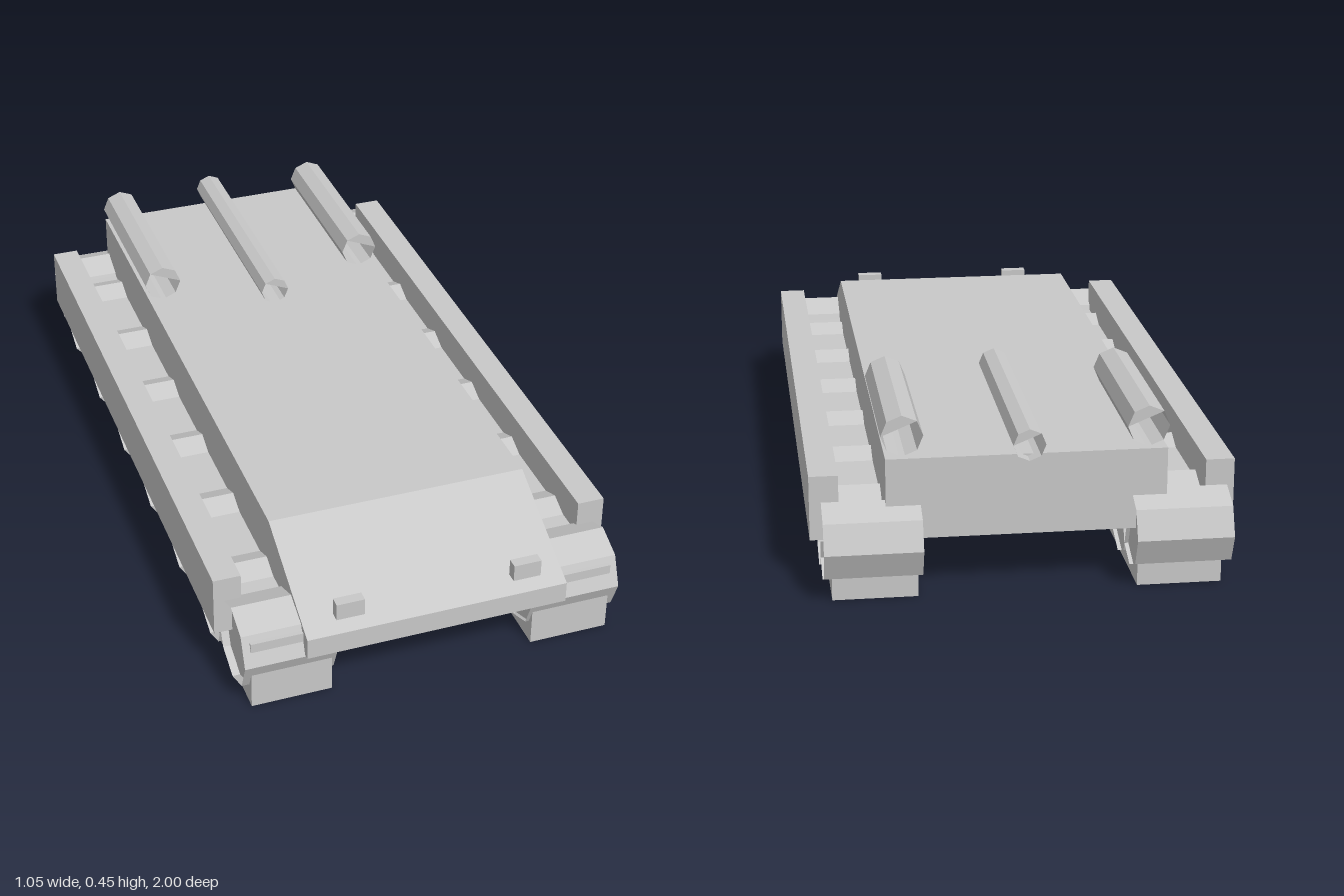
import * as THREE from 'three';

export function createModel() {
  const model = new THREE.Group();
  model.name = 'trackedVehicle';
  const grey = new THREE.MeshStandardMaterial({ color: 0xc8c8c8, flatShading: true, side: THREE.DoubleSide });
  grey.name = 'plainGrey';

  const add = (name, geometry, x = 0, y = 0, z = 0, parent = model) => {
    const mesh = new THREE.Mesh(geometry, grey);
    mesh.name = name;
    mesh.position.set(x, y, z);
    parent.add(mesh);
    return mesh;
  };

  // Box given by its minimum and maximum on each axis
  const box = (name, x0, x1, y0, y1, z0, z1) =>
    add(name, new THREE.BoxGeometry(x1 - x0, y1 - y0, z1 - z0),
      (x0 + x1) / 2, (y0 + y1) / 2, (z0 + z1) / 2);

  // Hull: side profile with a sloped nose, extruded across the width
  const profile = new THREE.Shape([
    [-0.925, 0.14], [1, 0.14], [1, 0.197], [0.7, 0.346], [-0.925, 0.346],
  ].map(([z, y]) => new THREE.Vector2(z, y)));
  const hull = new THREE.ExtrudeGeometry(profile, { depth: 0.69, bevelEnabled: false });
  hull.rotateY(-Math.PI / 2).translate(0.345, 0, 0);
  add('hull', hull);

  // Open eight-sided wheel rim lying across the track
  const wheel = (name, side, y, z, r) => {
    const rim = new THREE.CylinderGeometry(r, r, 0.24, 8, 1, true).rotateZ(Math.PI / 2);
    add(name, rim, side * 0.38, y, z);
  };

  for (const side of [-1, 1]) {
    const label = side > 0 ? 'left' : 'right';
    const mirrored = (name, a, b, ...rest) =>
      box(label + name, Math.min(side * a, side * b), Math.max(side * a, side * b), ...rest);

    mirrored('Track', 0.27, 0.48, 0, 0.197, -0.953, 0.97);
    mirrored('Skirt', 0.455, 0.527, 0.123, 0.288, -0.865, 0.815);
    mirrored('Headlight', 0.197, 0.27, 0.242, 0.288, 0.972, 1);

    // Drive wheels at the ends, road wheels between
    wheel(label + 'FrontWheel', side, 0.135, 0.875, 0.11);
    wheel(label + 'RearWheel', side, 0.135, -0.903, 0.1);
    for (let i = 0; i < 6; i++) {
      wheel(label + 'RoadWheel' + (i + 1), side, 0.115, -0.75 + i * 0.286, 0.105);
    }
  }

  // Roof tubes: open octagons with the upper part of each end closed
  const tube = (name, x, y, r, z0, z1) => {
    const group = new THREE.Group();
    group.name = name;
    group.position.set(x, y, (z0 + z1) / 2);
    model.add(group);
    const length = z1 - z0;
    add(name + 'Wall', new THREE.CylinderGeometry(r, r, length, 8, 1, true).rotateX(Math.PI / 2), 0, 0, 0, group);
    const cap = new THREE.ShapeGeometry(new THREE.Shape([0, 1, 2, 3].map((k) =>
      new THREE.Vector2(r * Math.cos(k * Math.PI / 4), r * Math.sin(k * Math.PI / 4)))));
    add(name + 'FrontCap', cap, 0, 0, length / 2, group);
    add(name + 'RearCap', cap, 0, 0, -length / 2, group);
  };
  tube('leftRoofTube', 0.302, 0.395, 0.052, -0.9, -0.418);
  tube('rightRoofTube', -0.302, 0.395, 0.052, -0.9, -0.418);
  tube('centreRoofTube', 0, 0.38, 0.04, -0.96, -0.298);

  return model;
}
